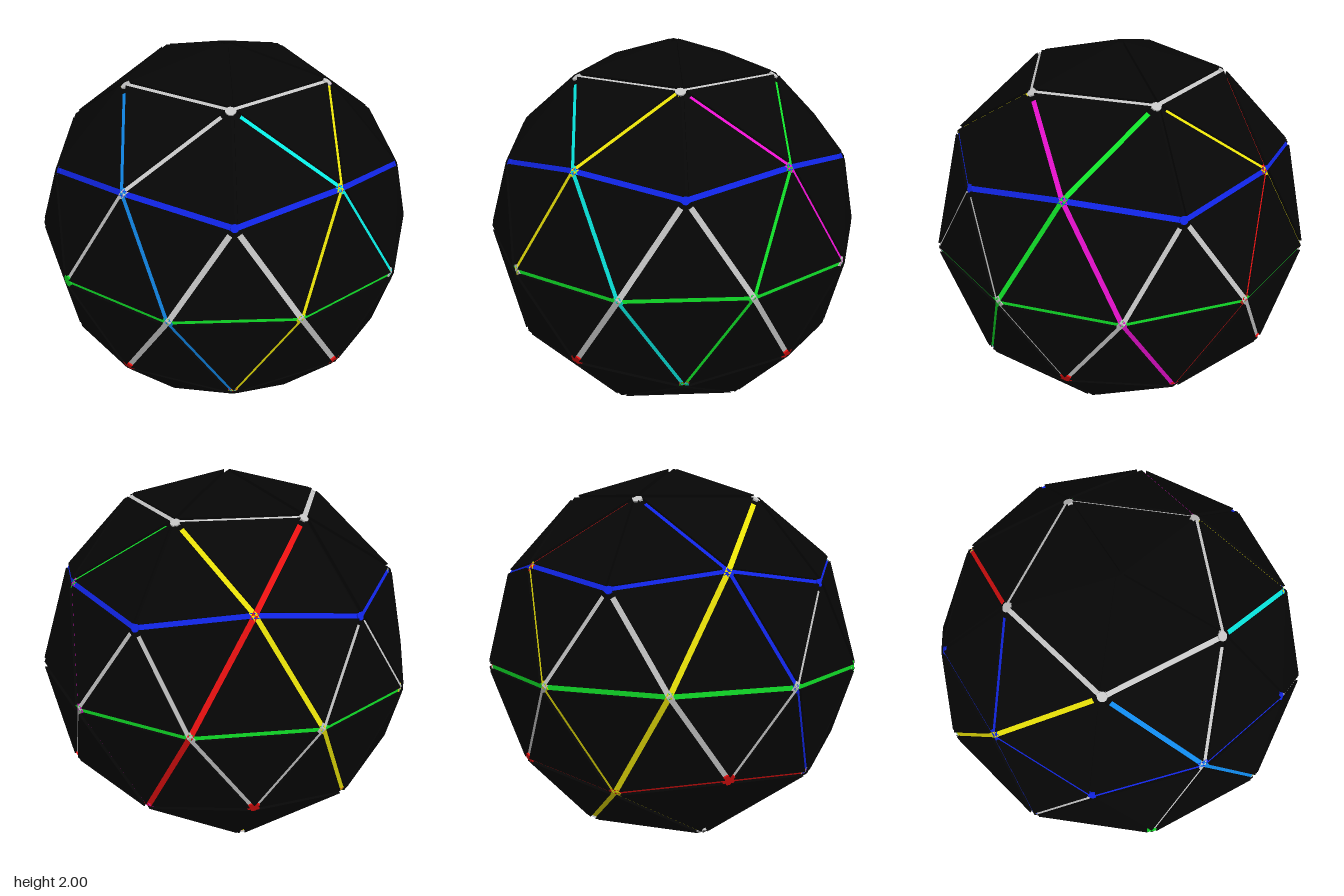
import * as THREE from 'three';
import { mergeGeometries } from 'three/addons/utils/BufferGeometryUtils.js';
import { ConvexGeometry } from 'three/addons/geometries/ConvexGeometry.js';

const R = 0.988;      // radius of the core's corners, at the groove floor
const OUTER = 1.007;  // radius of the raised panels
const HALF = 0.0138;  // half the width of a groove

const mat = (name, color) => {
  const m = new THREE.MeshStandardMaterial({ color });
  m.name = name;
  return m;
};

// Point on the sphere at a height (fraction of radius) and an angle around y
const at = (h, deg) => {
  const a = THREE.MathUtils.degToRad(deg), q = Math.sqrt(1 - h * h);
  return new THREE.Vector3(R * q * Math.cos(a), R * h, R * q * Math.sin(a));
};

// Corner rings, from the top cap down to the bottom cap
const T = (d) => at(0.8507, d);
const S = (d) => at(0.5257, d);
const P = (d) => at(0.4472, d);
const E = (d) => at(-0.01, d);
const Q = (d) => at(-0.4472, d);
const L = (d) => at(-0.5257, d);
const B = (d) => at(-0.8507, d);

// Thin flat strip along an edge, facing outwards, optionally starting late
function strip(a, b, lift, cut = 0) {
  const dir = b.clone().sub(a).normalize();
  const p = a.clone().addScaledVector(dir, cut);
  const out = a.clone().add(b).normalize();
  const side = new THREE.Vector3().crossVectors(out, dir);
  const mid = p.clone().add(b).multiplyScalar(0.5).addScaledVector(out, lift - 0.004);
  const g = new THREE.BoxGeometry(2 * HALF, 0.008, p.distanceTo(b));
  return g.applyMatrix4(new THREE.Matrix4().makeBasis(side, out, dir).setPosition(mid));
}

// Flat disc on a corner
function disc(p, r, lift) {
  const out = p.clone().normalize();
  const g = new THREE.CylinderGeometry(r, r, 0.008, 12);
  g.applyQuaternion(new THREE.Quaternion().setFromUnitVectors(new THREE.Vector3(0, 1, 0), out));
  const m = p.clone().addScaledVector(out, lift - 0.004);
  return g.translate(m.x, m.y, m.z);
}

// Raised triangular panel, inset so that grooves stay open along its sides
function panel(a, b, c) {
  const la = b.distanceTo(c), lb = c.distanceTo(a), lc = a.distanceTo(b), sum = la + lb + lc;
  const centre = new THREE.Vector3()
    .addScaledVector(a, la / sum).addScaledVector(b, lb / sum).addScaledVector(c, lc / sum);
  const inRadius = 2 * new THREE.Triangle(a, b, c).getArea() / sum;
  const floor = [a, b, c].map((v) => v.clone().lerp(centre, HALF / inRadius));
  return new ConvexGeometry([...floor, ...floor.map((v) => v.clone().multiplyScalar(OUTER / R))]);
}

export function createModel() {
  const model = new THREE.Group();
  model.name = 'geodesicBall';
  const ball = new THREE.Group();
  ball.name = 'ball';
  ball.position.y = 1;
  model.add(ball);

  const black = mat('black', 0x060606);
  const grey = mat('light grey', 0xc4c4c4);
  const green = mat('green', 0x10e028);
  const blue = mat('blue', 0x1024e4);
  const red = mat('red', 0xe81010);
  const yellow = mat('yellow', 0xf0e808);
  const cyan = mat('cyan', 0x08eee6);
  const azure = mat('azure', 0x1088ea);
  const magenta = mat('magenta', 0xea10d0);

  const add = (name, geometry, material) => {
    const mesh = new THREE.Mesh(geometry, material);
    mesh.name = name;
    ball.add(mesh);
  };

  // Faceted black core
  const corners = [new THREE.Vector3(0, R, 0), new THREE.Vector3(0, -R, 0)];
  for (let k = 0; k < 5; k++) {
    const d = 72 * k;
    corners.push(T(d), P(d), S(d + 36), E(d + 18), E(d - 18), L(d), Q(d + 36), B(d + 36));
  }
  const core = new ConvexGeometry(corners);
  add('core', core, black);

  // One raised panel over each facet of the core
  const pos = core.getAttribute('position');
  const corner = (i) => new THREE.Vector3().fromBufferAttribute(pos, i);
  const panels = [];
  for (let i = 0; i < pos.count; i += 3) panels.push(panel(corner(i), corner(i + 1), corner(i + 2)));
  add('panels', mergeGeometries(panels), black);

  // Rings, caps and spokes, repeated five times around the axis
  const equator = [], upper = [], lower = [], caps = [], spokes = [];
  for (let k = 0; k < 5; k++) {
    const d = 72 * k, u = d + 36;
    equator.push(strip(E(d - 18), E(d + 18), 0.001), strip(E(d + 18), E(d + 54), 0.001));
    upper.push(strip(S(d - 36), P(d), 0.001), strip(P(d), S(u), 0.001), disc(P(d), 0.02, 0.003));
    lower.push(strip(L(d), Q(u), 0.001), strip(Q(u), L(d + 72), 0.001), disc(Q(u), 0.033, 0.004));
    caps.push(strip(T(d), T(d + 72), 0.002), strip(B(u), B(u + 72), 0.002));
    caps.push(disc(T(d), 0.024, 0.003), disc(B(u), 0.033, 0.004));
    for (const s of [-18, 18]) {
      // the corner at 126 degrees carries no spokes
      if (d + s !== 126) spokes.push(strip(P(d), E(d + s), 0.003, 0.04));
      if (u + s !== 126) spokes.push(strip(Q(u), E(u + s), 0.003));
    }
  }
  equator.push(disc(E(126), 0.03, 0.005));
  add('equatorRing', mergeGeometries(equator), green);
  add('upperRing', mergeGeometries(upper), blue);
  add('lowerRing', mergeGeometries(lower), red);
  add('capPentagons', mergeGeometries(caps), grey);
  add('spokes', mergeGeometries(spokes), grey);

  // Ten coloured bands running from the top cap to the bottom cap
  const bands = [
    [0, 1, yellow], [72, 1, grey], [144, 1, yellow], [216, 1, red], [288, 1, green],
    [0, -1, magenta], [72, -1, cyan], [144, -1, azure], [216, -1, blue], [288, -1, yellow],
  ];
  for (const [start, dir, material] of bands) {
    const p = [T(start), S(start + 36 * dir), E(start + 54 * dir), L(start + 72 * dir), B(start + 108 * dir)];
    const gap = start === 0 && dir === 1 ? 0 : 0.05;
    const parts = [0, 1, 2, 3].map((i) => strip(p[i], p[i + 1], 0.002, i === 0 ? gap : 0));
    add(`${material.name.replace(' ', '')}Band${start}`, mergeGeometries(parts), material);
  }
  return model;
}
